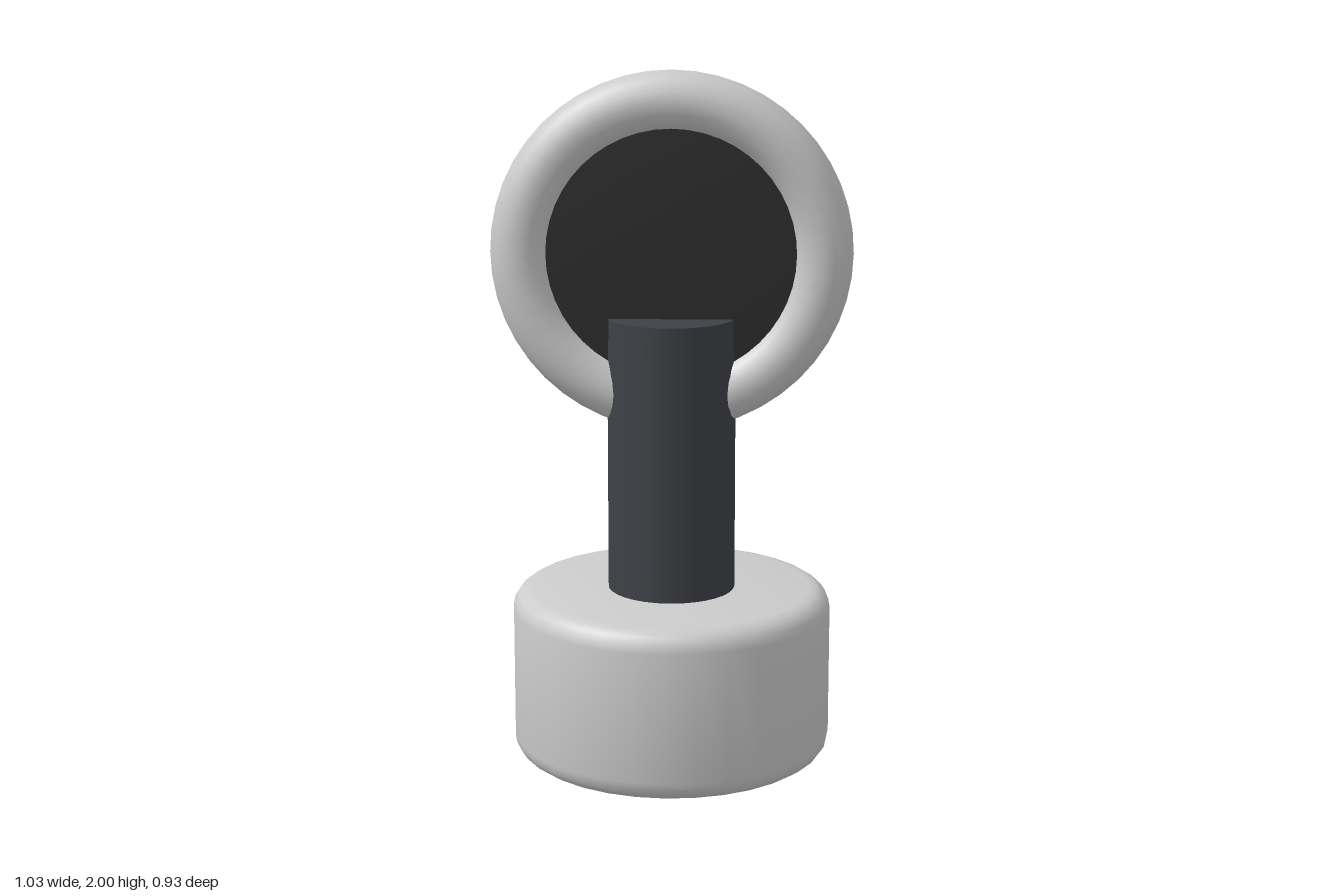
import * as THREE from 'three';
import { toCreasedNormals } from 'three/addons/utils/BufferGeometryUtils.js';

const BASE_R = 0.463, BASE_H = 0.5, FILLET = 0.06;
const RING_Y = 1.484, RING_R = 0.43, TUBE_R = 0.086;

export function createModel() {
  const model = new THREE.Group();
  const metal = new THREE.MeshStandardMaterial({ color: 0xcccccc });
  const darkRod = new THREE.MeshStandardMaterial({ color: 0x3e4146 });
  const darkDisc = new THREE.MeshStandardMaterial({ color: 0x2d2d2d });

  function add(name, geometry, material, y = 0) {
    const mesh = new THREE.Mesh(geometry, material);
    mesh.name = name;
    mesh.position.y = y;
    model.add(mesh);
    return mesh;
  }

  // Round base with filleted rims
  const profile = [new THREE.Vector2(0, 0)];
  for (const [cy, start] of [[FILLET, -Math.PI / 2], [BASE_H - FILLET, 0]]) {
    for (let i = 0; i <= 4; i++) {
      const a = start + (i / 4) * Math.PI / 2;
      profile.push(new THREE.Vector2(
        BASE_R - FILLET + FILLET * Math.cos(a), cy + FILLET * Math.sin(a)));
    }
  }
  profile.push(new THREE.Vector2(0, BASE_H));
  add('base', toCreasedNormals(new THREE.LatheGeometry(profile, 32), 0.6), metal);

  // Upright rod, sunk slightly into the base
  add('rod', new THREE.CylinderGeometry(0.184, 0.184, 0.82, 32), darkRod, 0.89);

  // Ring at the top
  add('ring', new THREE.TorusGeometry(RING_R, TUBE_R, 16, 48), metal, RING_Y);

  // Slightly domed disc filling the ring
  const lens = [[0, -0.05], [0.12, -0.049], [0.24, -0.046], [0.36, -0.04], [0.42, -0.035],
    [0.42, 0.035], [0.36, 0.04], [0.24, 0.046], [0.12, 0.049], [0, 0.05]]
    .map(([r, z]) => new THREE.Vector2(r, z));
  const disc = add('disc', toCreasedNormals(new THREE.LatheGeometry(lens, 48), 0.6), darkDisc, RING_Y);
  disc.rotation.x = Math.PI / 2;

  return model;
}
